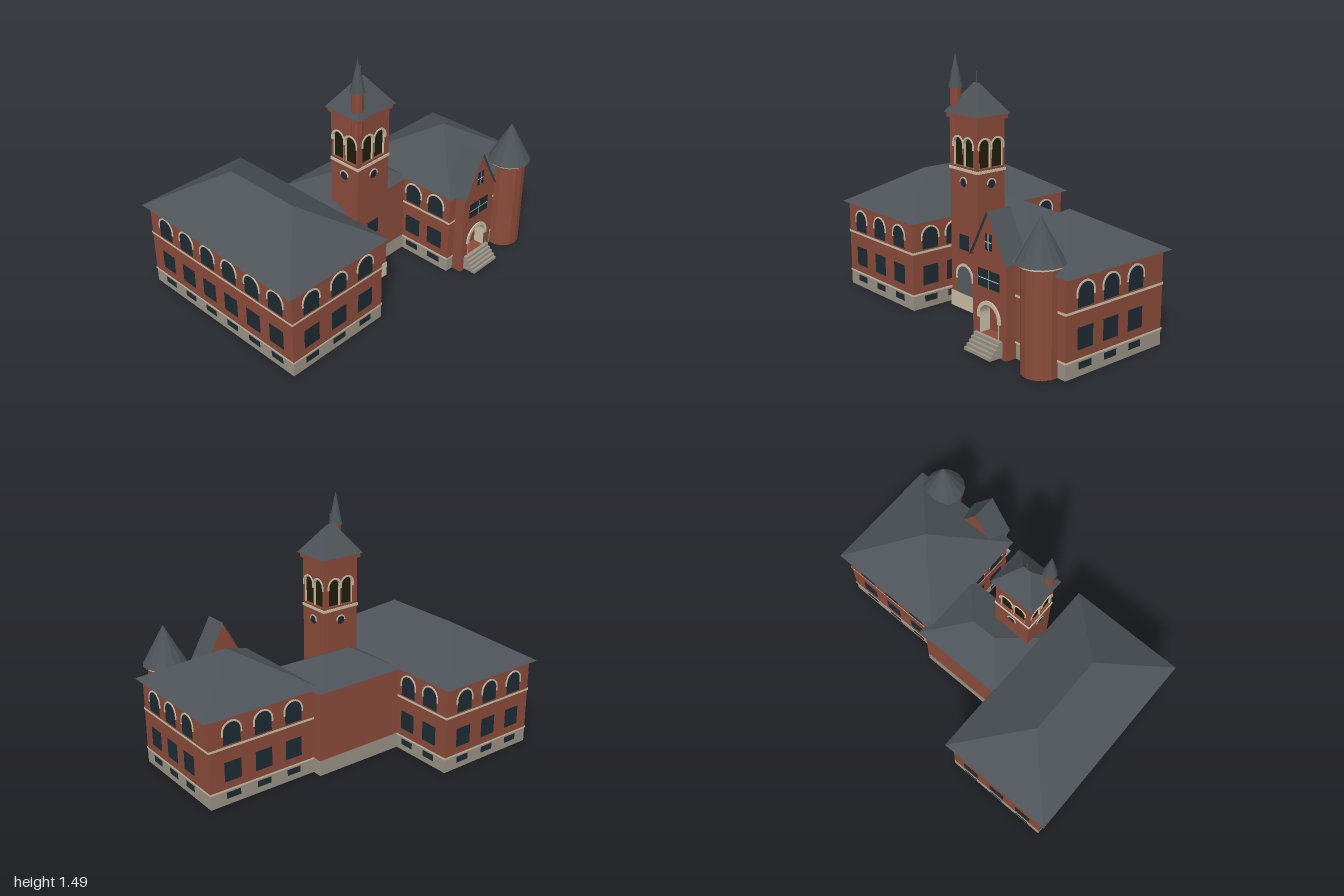
import * as THREE from 'three';

const mat = (name, color, side = THREE.FrontSide) => {
  const m = new THREE.MeshStandardMaterial({ color, side });
  m.name = name;
  return m;
};
const BRICK = mat('brick', 0x8b4c3b, THREE.DoubleSide);
const ROOF = mat('slate roof', 0x4d5358, THREE.DoubleSide);
const CREAM = mat('cream trim', 0xcdc1a8, THREE.DoubleSide);
const STONE = mat('grey stone', 0x9b9386, THREE.DoubleSide);
const GLASS = mat('dark glass', 0x1e2a33);
const BELFRY = mat('belfry shadow', 0x1f1e0a);
const DOOR = mat('door', 0x585c60);
const WHITE = mat('white mullion', 0xd0d4d6);

export function createModel() {
  const model = new THREE.Group();
  model.name = 'schoolhouse';

  const add = (name, geo, material, x = 0, y = 0, z = 0) => {
    const m = new THREE.Mesh(geo, material);
    m.name = name;
    m.position.set(x, y, z);
    model.add(m);
    return m;
  };
  // box given by its limits
  const box = (name, material, x0, x1, y0, y1, z0, z1) =>
    add(name, new THREE.BoxGeometry(x1 - x0, y1 - y0, z1 - z0), material,
      (x0 + x1) / 2, (y0 + y1) / 2, (z0 + z1) / 2);
  // four walls without top or bottom
  const shell = (...args) => {
    const g = box(...args).geometry;
    const idx = Array.from(g.index.array);
    g.setIndex([...idx.slice(0, 12), ...idx.slice(24)]);
    g.clearGroups();
  };

  // flat-shaded geometry from quads
  const quads = (list) => {
    const pos = [];
    for (const [a, b, c, d] of list) pos.push(...a, ...b, ...c, ...a, ...c, ...d);
    const g = new THREE.BufferGeometry();
    g.setAttribute('position', new THREE.Float32BufferAttribute(pos, 3));
    g.computeVertexNormals();
    return g;
  };
  // hipped roof: eave rectangle rising to a ridge line or a point
  const hip = (name, [x0, x1, z0, z1], y0, [rx0, rx1, rz0, rz1], y1) => {
    const lo = [[x0, y0, z1], [x1, y0, z1], [x1, y0, z0], [x0, y0, z0]];
    const hi = [[rx0, y1, rz1], [rx1, y1, rz1], [rx1, y1, rz0], [rx0, y1, rz0]];
    const faces = lo.map((p, i) => [p, lo[(i + 1) % 4], hi[(i + 1) % 4], hi[i]]);
    faces.push([lo[0], lo[3], lo[2], lo[1]]);
    add(name, quads(faces), ROOF);
  };

  // put a part on a wall: a runs along the wall, d is the wall plane, out the offset from it
  const onWall = (face, name, geo, material, a, y, d, out = 0) => {
    const alongX = face === 'front' || face === 'back';
    const p = d + (face === 'front' || face === 'right' ? out : -out);
    const m = add(name, geo, material, alongX ? a : p, y, alongX ? p : a);
    m.rotation.y = { front: 0, right: Math.PI / 2, back: Math.PI, left: -Math.PI / 2 }[face];
  };
  const extrude = (shape, depth) =>
    new THREE.ExtrudeGeometry(shape, { depth, bevelEnabled: false, curveSegments: 10 });
  const archShape = (w, h) => {
    const r = w / 2, s = new THREE.Shape();
    s.moveTo(-r, 0);
    s.lineTo(r, 0);
    s.lineTo(r, h - r);
    s.absarc(0, h - r, r, 0, Math.PI, false);
    return s;
  };
  const archHole = (x, y, w, h) => new THREE.Path(
    archShape(w, h).getPoints(10).map((p) => p.add(new THREE.Vector2(x, y))));
  const ringShape = (r, t, leg) => {
    const s = new THREE.Shape();
    s.moveTo(r + t, -leg);
    s.lineTo(r + t, 0);
    s.absarc(0, 0, r + t, 0, Math.PI, false);
    s.lineTo(-r - t, -leg);
    s.lineTo(-r, -leg);
    s.lineTo(-r, 0);
    s.absarc(0, 0, r, Math.PI, 0, true);
    s.lineTo(r, -leg);
    return s;
  };
  const archTrim = (face, name, a, y, d, r, t) =>
    onWall(face, name, extrude(ringShape(r, t, 0.02), 0.004), CREAM, a, y, d, 0.001);
  const archWindow = (face, a, y, d, w, h, t, material, name) => {
    onWall(face, name, new THREE.ShapeGeometry(archShape(w, h), 10), material, a, y, d, 0.003);
    archTrim(face, name + 'Trim', a, y + h - w / 2, d, w / 2, t);
  };
  const rectWindow = (face, a, y, d, w, h, name, material = GLASS, out = 0.003) =>
    onWall(face, name, new THREE.PlaneGeometry(w, h), material, a, y, d, out);
  const bays = (face, d, list) => {
    for (const a of list) {
      archWindow(face, a, 0.36, d, 0.11, 0.128, 0.01, GLASS, 'upperWindow');
      rectWindow(face, a, 0.2, d, 0.108, 0.117, 'lowerWindow');
      rectWindow(face, a, 0.057, d, 0.09, 0.038, 'basementWindow');
    }
  };

  // side wings: stone base, brick walls, cream bands
  const wing = (name, x0, x1, z0, z1) => {
    shell(name + 'Base', STONE, x0, x1, 0, 0.09, z0, z1);
    shell(name + 'Walls', BRICK, x0, x1, 0.09, 0.53, z0, z1);
    for (const [y0, y1] of [[0.086, 0.098], [0.338, 0.352]])
      shell(name + 'Band', CREAM, x0 - 0.004, x1 + 0.004, y0, y1, z0 - 0.004, z1 + 0.004);
  };
  wing('leftWing', -0.968, -0.3, -0.648, 0.525);
  hip('leftWingRoof', [-1, -0.27, -0.68, 0.55], 0.53, [-0.635, -0.635, -0.31, 0.19], 0.752);
  wing('rightWing', 0.28, 0.965, -0.175, 0.525);
  hip('rightWingRoof', [0.248, 1, -0.209, 0.55], 0.53, [0.622, 0.622, 0.175, 0.175], 0.742);

  bays('front', 0.525, [-0.835, -0.635, -0.435]);
  bays('back', -0.648, [-0.835, -0.635, -0.435]);
  bays('left', -0.968, [-0.51, -0.327, -0.145, 0.037, 0.22, 0.402]);
  bays('right', -0.3, [-0.51, -0.327, 0.23, 0.402]);
  bays('right', 0.965, [0.394, 0.214, 0.033]);
  bays('back', -0.175, [0.42, 0.62, 0.82]);
  bays('left', 0.28, [0.25, 0.42]);

  // middle block
  shell('middleBase', STONE, -0.3, 0.28, 0, 0.095, -0.237, 0.17);
  shell('middleWalls', BRICK, -0.3, 0.28, 0.095, 0.525, -0.237, 0.17);
  hip('middleRoof', [-0.3, 0.3, -0.262, 0.2], 0.522, [-0.09, 0.07, -0.03, -0.03], 0.635);

  // bell tower
  const tx = -0.121, tz = 0.187, tw = 0.1225, td = 0.1;
  const around = (e) => [tx - tw - e, tx + tw + e, tz - td - e, tz + td + e];
  const towerPart = (make, name, material, e, y0, y1) => {
    const [x0, x1, z0, z1] = around(e);
    make(name, material, x0, x1, y0, y1, z0, z1);
  };
  towerPart(shell, 'towerBase', CREAM, 0.004, 0, 0.095);
  towerPart(shell, 'towerShaft', BRICK, 0, 0.095, 0.84);
  towerPart(box, 'towerBand', CREAM, 0.005, 0.83, 0.846);
  towerPart(box, 'belfryCore', BELFRY, -0.014, 0.846, 1.13);
  towerPart(box, 'towerCornice', BRICK, 0.013, 1.128, 1.157);
  hip('towerRoof', around(0.0245), 1.155, [tx - 0.023, tx + 0.023, tz, tz], 1.325);
  add('finial', new THREE.CylinderGeometry(0.003, 0.003, 0.08, 6), ROOF, tx, 1.349, tz);

  // tower faces: belfry wall with two arched openings, round window below
  for (const [face, a, d, half] of [['front', tx, tz + td, tw], ['back', tx, tz - td, tw],
    ['right', tz, tx + tw, td], ['left', tz, tx - tw, td]]) {
    const wall = new THREE.Shape([[-half, 0.84], [half, 0.84], [half, 1.13], [-half, 1.13]]
      .map(([x, y]) => new THREE.Vector2(x, y)));
    for (const s of [-0.046, 0.046]) {
      wall.holes.push(archHole(s, 0.858, 0.082, 0.165));
      onWall(face, 'belfryLining', extrude(ringShape(0.039, 0.0025, 0.124), 0.013), CREAM, a + s, 0.982, d, -0.0135);
      archTrim(face, 'belfryTrim', a + s, 0.982, d, 0.04, 0.01);
    }
    onWall(face, 'belfryWall', extrude(wall, 0.014), BRICK, a, 0, d, -0.014);
    onWall(face, 'roundWindow', new THREE.CircleGeometry(0.026, 16), GLASS, a, 0.765, d, 0.003);
    onWall(face, 'roundWindowTrim', extrude(ringShape(0.025, 0.007, 0.002), 0.004), CREAM, a, 0.765, d, 0.001);
  }
  archWindow('front', tx, 0.095, tz + td, 0.13, 0.17, 0.016, DOOR, 'towerDoor');
  rectWindow('front', tx, 0.41, tz + td, 0.088, 0.092, 'towerWindow');

  // faceted round parts
  const faceted = (name, r0, r1, h, sides, material, x, y, z) => {
    const g = new THREE.CylinderGeometry(r0, r1, h, sides, 1, true).toNonIndexed();
    g.computeVertexNormals();
    add(name, g, material, x, y + h / 2, z);
  };
  // slim turret on the tower corner
  faceted('spireShaft', 0.033, 0.033, 0.25, 10, BRICK, -0.219, 1.05, 0.26);
  faceted('spireCone', 0, 0.042, 0.195, 10, ROOF, -0.219, 1.295, 0.26);
  // round corner turret
  faceted('turretWall', 0.105, 0.105, 0.57, 14, BRICK, 0.806, 0, 0.541);
  faceted('turretBand', 0.117, 0.117, 0.014, 14, CREAM, 0.806, 0.564, 0.543);
  faceted('turretRoof', 0, 0.129, 0.236, 14, ROOF, 0.806, 0.576, 0.545);

  // entrance gable with an arched recess
  const gx = 0.465;
  const gable = new THREE.Shape([[-0.133, 0], [0.133, 0], [0.133, 0.525], [0, 0.766], [-0.133, 0.525]]
    .map(([x, y]) => new THREE.Vector2(x, y)));
  gable.holes.push(archHole(0, 0.1, 0.15, 0.173));
  add('gableWall', extrude(gable, 0.135), BRICK, gx, 0, 0.455);
  add('entranceLining', extrude(ringShape(0.072, 0.004, 0.098), 0.064), CREAM, gx, 0.198, 0.527);
  add('entranceArch', extrude(ringShape(0.072, 0.021, 0.012), 0.01), CREAM, gx, 0.198, 0.588);
  add('gableRoof', quads([-1, 1].map((s) => {
    const ex = gx + s * 0.146;
    const q = [[ex, 0.512, 0.605], [ex, 0.512, 0.447], [gx, 0.772, 0.447], [gx, 0.772, 0.605]];
    return s > 0 ? q : q.reverse();
  })), ROOF);
  for (const [y, w, h] of [[0.408, 0.17, 0.098], [0.607, 0.055, 0.087]]) {
    rectWindow('front', gx, y, 0.59, w, h, 'gableWindow');
    rectWindow('front', gx, y, 0.59, w, 0.005, 'mullion', WHITE, 0.005);
    rectWindow('front', gx, y, 0.59, 0.005, h, 'mullion', WHITE, 0.005);
  }

  // entrance steps
  for (let i = 0; i < 5; i++)
    box('step', STONE, 0.359, 0.57, 0.015 + i * 0.017, 0.032 + i * 0.017, 0.588, 0.675 - i * 0.016);

  return model;
}
